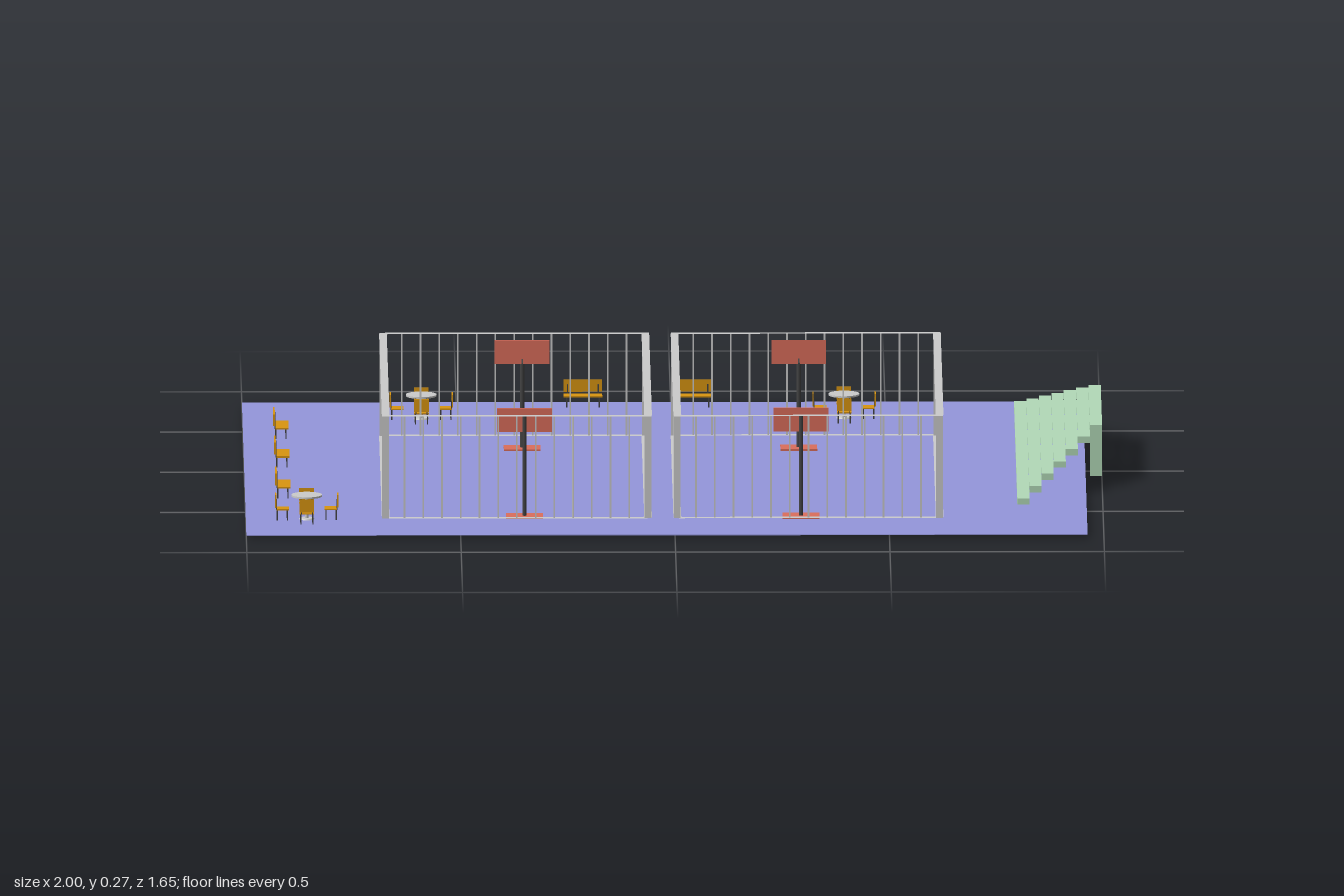
import * as THREE from 'three';

const mat = (color) => new THREE.MeshStandardMaterial({ color, side: THREE.DoubleSide });
const FLOOR_Y = 0.008;

export function createModel() {
  const model = new THREE.Group();
  const grey = mat(0xcccccc), blue = mat(0x9496dc), green = mat(0xb2dab8);
  const orange = mat(0xd99510), red = mat(0xdc6e5c), dark = mat(0x444444);

  const add = (parent, name, geometry, material, x = 0, y = 0, z = 0) => {
    const mesh = new THREE.Mesh(geometry, material);
    mesh.name = name;
    mesh.position.set(x, y, z);
    parent.add(mesh);
    return mesh;
  };
  // Box given by its min and max corners
  const box = (parent, name, material, x0, x1, y0, y1, z0, z1) =>
    add(parent, name, new THREE.BoxGeometry(x1 - x0, y1 - y0, z1 - z0), material,
      (x0 + x1) / 2, (y0 + y1) / 2, (z0 + z1) / 2);
  const group = (name, x, z, turn = 0) => {
    const g = new THREE.Group();
    g.name = name;
    g.position.set(x, FLOOR_Y, z);
    g.rotation.y = turn;
    model.add(g);
    return g;
  };

  // Ground slab
  box(model, 'floor', blue, -1, 0.962, FLOOR_Y - 0.002, FLOOR_Y, -0.826, 0.824);

  // Flat rectangular rail with rounded corners
  const roundedRect = (path, w, d, r) => {
    path.moveTo(-w + r, -d);
    path.lineTo(w - r, -d).quadraticCurveTo(w, -d, w, -d + r);
    path.lineTo(w, d - r).quadraticCurveTo(w, d, w - r, d);
    path.lineTo(-w + r, d).quadraticCurveTo(-w, d, -w, d - r);
    path.lineTo(-w, -d + r).quadraticCurveTo(-w, -d, -w + r, -d);
    return path;
  };
  const W = 0.315, D = 0.522, T = 0.018;
  const railShape = roundedRect(new THREE.Shape(), W, D, 0.014);
  railShape.holes.push(roundedRect(new THREE.Path(), W - T, D - T, 0.005));
  const railGeo = new THREE.ShapeGeometry(railShape, 4).rotateX(-Math.PI / 2);

  // Two fenced courts
  for (const cx of [-0.368, 0.312]) {
    const court = group('courtFence', cx, 0.136);
    add(court, 'bottomRail', railGeo, grey, 0, 0.007, 0);
    add(court, 'topRail', railGeo, grey, 0, 0.249, 0);
    const w = W - T / 2, d = D - T / 2, n = 14;
    const postGeo = new THREE.BoxGeometry(T * 0.9, 0.242, T * 0.9);
    const barGeo = new THREE.BoxGeometry(0.004, 0.242, 0.004);
    for (const s of [-1, 1]) {
      for (const t of [-1, 1]) add(court, 'cornerPost', postGeo, grey, s * w, 0.128, t * d);
      for (let i = 1; i < n; i++) {
        const f = -1 + (2 * i) / n;
        add(court, 'fenceBar', barGeo, grey, s * w, 0.128, f * d);
        add(court, 'fenceBar', barGeo, grey, f * w, 0.128, s * d);
      }
    }
  }

  // Basketball hoops facing the middle of each court
  for (const x of [-0.35, 0.295]) {
    for (const [z, turn] of [[-0.243, 0], [0.602, Math.PI]]) {
      const hoop = group('hoop', x, z, turn);
      box(hoop, 'hoopBase', red, -0.043, 0.043, -FLOOR_Y, 0.004, -0.028, 0.028);
      add(hoop, 'hoopPole', new THREE.CylinderGeometry(0.005, 0.005, 0.24, 8), dark, 0, 0.12, -0.003);
      box(hoop, 'backboard', red, -0.064, 0.064, 0.202, 0.258, -0.002, 0.003);
      box(hoop, 'hoopArm', dark, -0.002, 0.002, 0.21, 0.214, 0, 0.056);
    }
  }

  // Stepped bleachers, each row shorter than the one below it
  const stand = new THREE.Group();
  stand.name = 'bleachers';
  model.add(stand);
  const rows = 7, step = 0.2 / rows;
  for (let i = 0; i < rows; i++) {
    const x = 0.8 + i * step, y = 0.016 + i * 0.0178;
    box(stand, 'bleacherRow', green, x, x + step, y, y + 0.015,
      -0.71 + i * 0.0595, 0.5 - i * 0.06);
  }
  for (const z of [-0.35, 0.105]) box(stand, 'bleacherSupport', green, 0.972, 1, 0.016, 0.137, z, z + 0.037);

  // Four thin legs under a seat
  const legs = (g, name, w, d, h) => {
    for (const s of [-1, 1]) for (const t of [-1, 1])
      add(g, name, new THREE.BoxGeometry(0.003, h, 0.003), dark, s * w, h / 2, t * d);
  };

  // Benches with their backs toward the outside edge
  const benches = [[-0.205, -0.772, 0], [0.05, -0.772, 0],
    [-0.912, -0.408, Math.PI / 2], [-0.912, -0.055, Math.PI / 2], [-0.912, 0.328, Math.PI / 2]];
  for (const [x, z, turn] of benches) {
    const bench = group('bench', x, z, turn);
    box(bench, 'benchSeat', orange, -0.045, 0.045, 0.024, 0.028, -0.013, 0.018);
    box(bench, 'benchBack', orange, -0.045, 0.045, 0.032, 0.06, -0.018, -0.014);
    for (const s of [-1, 1]) box(bench, 'backSupport', dark, s * 0.036 - 0.0015, s * 0.036 + 0.0015, 0.024, 0.05, -0.015, -0.012);
    legs(bench, 'benchLeg', 0.038, 0.012, 0.025);
  }

  // Round tables with four chairs each
  for (const [x, z] of [[-0.583, -0.62], [0.403, -0.625], [-0.858, 0.625]]) {
    const set = group('tableSet', x, z);
    add(set, 'tableTop', new THREE.CylinderGeometry(0.036, 0.036, 0.004, 24), grey, 0, 0.056, 0);
    add(set, 'tableStem', new THREE.CylinderGeometry(0.004, 0.004, 0.054, 8), grey, 0, 0.027, 0);
    add(set, 'tableFoot', new THREE.CylinderGeometry(0.016, 0.018, 0.003, 16), grey, 0, 0.0015, 0);
    for (let i = 0; i < 4; i++) {
      const pivot = new THREE.Group();
      pivot.name = 'chair';
      pivot.rotation.y = (i * Math.PI) / 2;
      set.add(pivot);
      const chair = new THREE.Group();
      chair.position.z = -0.057;
      pivot.add(chair);
      box(chair, 'chairSeat', orange, -0.017, 0.017, 0.024, 0.027, -0.014, 0.016);
      box(chair, 'chairBack', orange, -0.017, 0.017, 0.03, 0.06, -0.017, -0.014);
      for (const s of [-1, 1]) box(chair, 'backSupport', dark, s * 0.013 - 0.001, s * 0.013 + 0.001, 0.024, 0.045, -0.0145, -0.0125);
      legs(chair, 'chairLeg', 0.014, 0.012, 0.025);
    }
  }
  return model;
}
